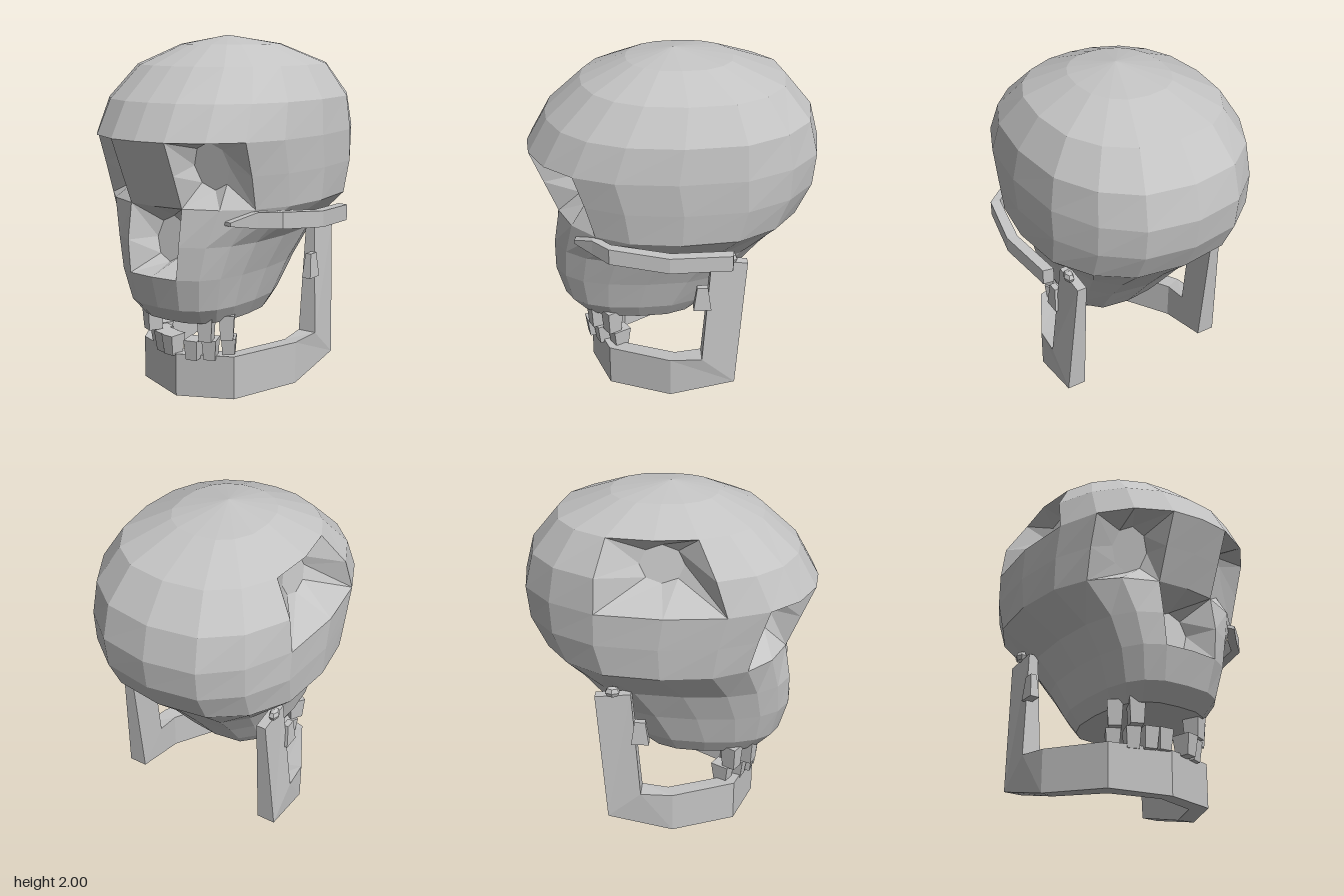
import * as THREE from 'three';

const CX = -0.02; // mirror plane of the skull
const bone = new THREE.MeshStandardMaterial({ color: 0xc4c4c4 });
bone.name = 'bone grey';
const V = (x, y, z) => new THREE.Vector3(x, y, z);

// Faceted mesh from convex faces; turned outward if its volume is negative
function solid(name, faces) {
  const tris = [];
  for (const f of faces)
    for (let i = 1; i < f.length - 1; i++) tris.push([f[0], f[i], f[i + 1]]);
  let vol = 0;
  for (const [a, b, c] of tris) vol += a.dot(b.clone().cross(c));
  const pts = tris.flatMap(([a, b, c]) => (vol < 0 ? [a, c, b] : [a, b, c]));
  const g = new THREE.BufferGeometry().setFromPoints(pts);
  g.computeVertexNormals();
  const m = new THREE.Mesh(g, bone);
  m.name = name;
  return m;
}

// Closed solid through a series of equal-sized cross-sections
function loft(name, sections) {
  const n = sections[0].length, faces = [];
  for (let s = 0; s < sections.length - 1; s++)
    for (let i = 0; i < n; i++) {
      const j = (i + 1) % n, a = sections[s], b = sections[s + 1];
      faces.push([a[i], a[j], b[j], b[i]]);
    }
  faces.push([...sections[0]].reverse(), sections.at(-1));
  return solid(name, faces);
}

// Tapered block standing on y0
function block(name, x, z, y0, y1, wBottom, wTop, dBottom, dTop, turn = 0) {
  const ring = (y, w, d) => [[-1, -1], [1, -1], [1, 1], [-1, 1]].map(([a, b]) =>
    V(a * w / 2, y, b * d / 2).applyAxisAngle(V(0, 1, 0), turn).add(V(x, 0, z)));
  return loft(name, [ring(y0, wBottom, dBottom), ring(y1, wTop, dTop)]);
}

function buildCranium() {
  // half outline, front to back, mirrored to 18 columns
  const half = [[0, 1], [0.28, 0.975], [0.58, 0.86], [0.8, 0.67], [0.945, 0.4], [1, 0],
    [0.945, -0.44], [0.74, -0.745], [0.44, -0.94], [0, -1]];
  const loop = [...half, ...half.slice(1, 9).reverse().map(([x, z]) => [-x, z])];
  // y, half width, front z, back z, squareness
  const rings = [
    [0.46, 0.29, 0.57, -0.15, 0.7], [0.55, 0.34, 0.65, -0.22, 0.7],
    [0.73, 0.385, 0.70, -0.36, 0.7], [0.91, 0.45, 0.70, -0.51, 0.75],
    [1.11, 0.62, 0.67, -0.71, 1], [1.29, 0.632, 0.745, -0.80, 1],
    [1.47, 0.635, 0.82, -0.82, 1], [1.66, 0.61, 0.71, -0.77, 1],
    [1.84, 0.495, 0.51, -0.62, 1], [1.95, 0.26, 0.26, -0.33, 1]];
  const P = rings.map(([y, w, f, b, p]) => loop.map(([x, z]) =>
    V(CX + Math.sign(x) * w * Math.abs(x) ** p, y, (f + b) / 2 + z * (f - b) / 2)));
  const at = (r, c) => P[r][(c + 18) % 18];

  // hollows: first ring and column of a 2x2 opening, floor centre, floor axes
  const hollows = [
    { r: 4, c: 1, o: V(CX + 0.28, 1.33, 0.53), u: V(0.1, 0, -0.02), v: V(0, 0.13, 0.03) },
    { r: 4, c: 15, o: V(CX - 0.28, 1.33, 0.53), u: V(0.1, 0, 0.02), v: V(0, 0.13, 0.03) },
    { r: 2, c: 17, o: V(CX, 0.91, 0.52), u: V(0.1, 0, 0), v: V(0, 0.125, -0.02) },
    { r: 6, c: 12, o: V(-0.43, 1.68, -0.02), u: V(0, 0, 0.12), v: V(0.02, 0.1, 0) }];
  const open = new Set(), faces = [];
  for (const { r, c, o, u, v } of hollows) {
    for (const i of [0, 1]) for (const j of [0, 1]) open.add(`${r + i},${(c + j) % 18}`);
    const rim = [[0, 0], [0, 1], [0, 2], [1, 2], [2, 2], [2, 1], [2, 0], [1, 0]]
      .map(([i, j]) => at(r + i, c + j));
    const floor = rim.map((_, i) => {
      const a = (i - 3) * Math.PI / 4;
      return o.clone().addScaledVector(u, Math.cos(a)).addScaledVector(v, Math.sin(a));
    });
    for (let i = 0; i < 8; i++) {
      const j = (i + 1) % 8;
      faces.push([rim[i], rim[j], floor[j], floor[i]]);
    }
    faces.push(floor);
  }
  for (let r = 0; r < 9; r++)
    for (let c = 0; c < 18; c++)
      if (!open.has(`${r},${c}`))
        faces.push([at(r, c), at(r, c + 1), at(r + 1, c + 1), at(r + 1, c)]);
  for (let c = 0; c < 18; c++) faces.push([at(9, c), at(9, c + 1), V(CX, 2, 0)]);
  faces.push([...P[0]].reverse());
  return solid('cranium', faces);
}

function buildJaw() {
  const jaw = new THREE.Group();
  jaw.name = 'jaw';
  // sections: outer bottom, outer top, inner top, inner bottom as x, y, z
  const side = [
    [[0.475, 0.91, -0.39], [0.475, 0.93, -0.19], [0.42, 0.93, -0.19], [0.42, 0.91, -0.39]],
    [[0.52, 0.14, -0.33], [0.52, 0.30, -0.14], [0.41, 0.30, -0.14], [0.41, 0.14, -0.33]],
    [[0.50, 0.045, 0.04], [0.50, 0.285, 0.04], [0.41, 0.28, 0.01], [0.41, 0.05, 0.01]],
    [[0.32, 0.015, 0.39], [0.32, 0.26, 0.39], [0.26, 0.255, 0.30], [0.26, 0.02, 0.30]]];
  const chin = [[0, 0, 0.5], [0, 0.245, 0.5], [0, 0.24, 0.4], [0, 0.01, 0.4]];
  const place = (s, k) => s.map(([x, y, z]) => V(CX + k * x, y, z));
  jaw.add(loft('jawbone', [...side.map(s => place(s, 1)), place(chin, 1),
    ...[...side].reverse().map(s => place(s, -1))]));
  for (const k of [-1, 1]) {
    const knob = new THREE.Mesh(new THREE.SphereGeometry(0.045, 6, 4).toNonIndexed(), bone);
    knob.geometry.computeVertexNormals();
    knob.scale.set(0.65, 0.75, 1);
    knob.position.set(CX + k * 0.475, 0.945, -0.29);
    knob.name = 'jawKnob';
    jaw.add(knob, block('jawSpur', CX + k * 0.485, -0.14, 0.63, 0.77, 0.055, 0.035, 0.1, 0.06));
  }
  return jaw;
}

function buildTeeth() {
  const teeth = new THREE.Group();
  teeth.name = 'teeth';
  const upper = [[-0.285, 0.37], [-0.215, 0.46], [0.165, 0.46], [0.24, 0.37]];
  const lower = [[-0.06, 0.47], [-0.13, 0.45], [-0.2, 0.4], [-0.265, 0.32],
    [0.09, 0.475], [0.165, 0.42], [0.225, 0.33]];
  for (const [x, z] of upper)
    teeth.add(block('upperTooth', x, z, 0.35, 0.49, 0.07, 0.085, 0.08, 0.1, (x - CX) * 2.2));
  for (const [x, z] of lower)
    teeth.add(block('lowerTooth', x, z, 0.235, 0.35, 0.065, 0.08, 0.08, 0.11, (x - CX) * 2.2));
  return teeth;
}

// Cheek arch, kept on one side only: outer x, inner x, bottom y, top y, z
function buildCheekArch() {
  const bar = [[0.40, 0.35, 1.03, 1.05, 0.56], [0.50, 0.44, 1.015, 1.1, 0.46],
    [0.60, 0.545, 1.01, 1.1, 0.37], [0.655, 0.595, 0.975, 1.065, 0.05],
    [0.61, 0.55, 0.955, 1.045, -0.29]];
  return loft('cheekArch', bar.map(([o, i, y0, y1, z]) =>
    [V(o, y0, z), V(o, y1, z), V(i, y1, z - 0.01), V(i, y0, z - 0.01)]));
}

export function createModel() {
  const skull = new THREE.Group();
  skull.name = 'skull';
  skull.add(buildCranium(), buildCheekArch(), buildJaw(), buildTeeth());
  return skull;
}
